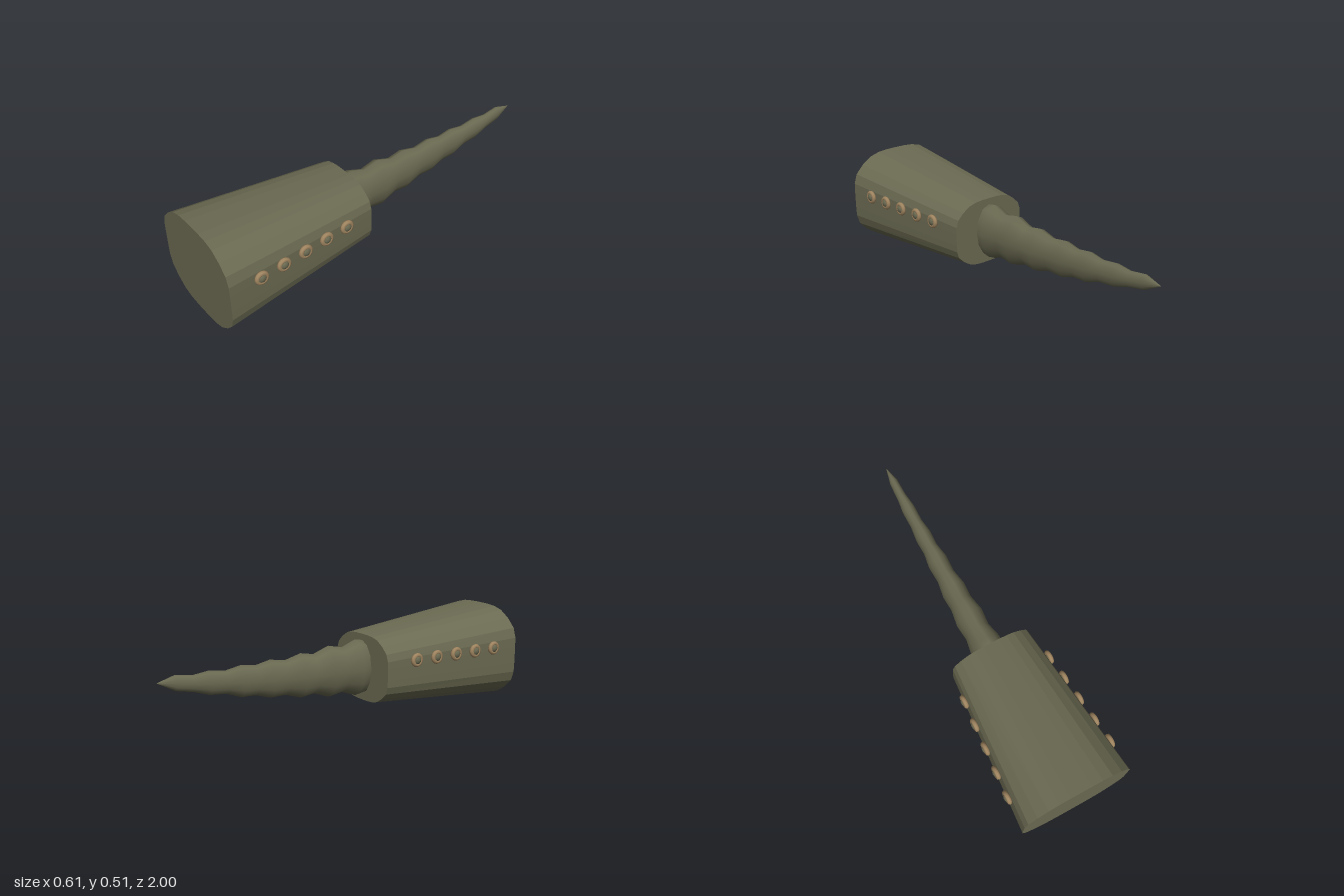
import * as THREE from 'three';

const olive = new THREE.MeshStandardMaterial({ color: 0x6b6a52 });
olive.name = 'olive hide';
const oliveFlat = new THREE.MeshStandardMaterial({ color: 0x6b6a52, flatShading: true });
oliveFlat.name = 'olive hide faceted';
const tan = new THREE.MeshStandardMaterial({ color: 0xa08560 });
tan.name = 'tan ring';

// Joins rings of [x, y, z] points, ordered from front to back and counter-clockwise seen from the front
function loft(rings, caps) {
  const n = rings[0].length;
  const pos = rings.flat(2);
  const idx = [];
  for (let i = 0; i < rings.length - 1; i++) {
    for (let j = 0; j < n; j++) {
      const k = (j + 1) % n;
      const a = i * n, b = a + n;
      idx.push(a + j, b + j, b + k, a + j, b + k, a + k);
    }
  }
  if (caps) {
    const last = (rings.length - 1) * n;
    for (let j = 1; j < n - 1; j++) {
      idx.push(0, j, j + 1, last, last + j + 1, last + j);
    }
  }
  const g = new THREE.BufferGeometry();
  g.setAttribute('position', new THREE.Float32BufferAttribute(pos, 3));
  g.setIndex(idx);
  g.computeVertexNormals();
  return g;
}

function add(parent, name, geometry, material) {
  const m = new THREE.Mesh(geometry, material);
  m.name = name;
  parent.add(m);
  return m;
}

export function createModel() {
  const model = new THREE.Group();
  model.name = 'taperedTail';

  // Tapered body with a rounded-square section
  const quarter = [[1, 0], [1, 0.18], [0.995, 0.38], [0.9375, 0.588], [0.78, 0.776],
    [0.59, 0.92], [0.4, 0.98], [0.2, 0.998]];
  const section = [];
  for (let q = 0; q < 4; q++) {
    quarter.forEach(([x, y], i) => {
      // odd quarters mirror the first one, so the corners stay symmetric
      if (q === 0) section.push([x, y]);
      else if (q === 2) section.push([-x, -y]);
      else {
        const [mx, my] = i === 0 ? [0, 1] : quarter[quarter.length - i];
        section.push(q === 1 ? [-(i === 0 ? 0 : mx), my] : [i === 0 ? 0 : mx, -my]);
      }
    });
  }
  // order each mirrored quarter around the centre
  section.sort((a, b) => Math.atan2(a[1], a[0]) - Math.atan2(b[1], b[0]));
  const bodyRing = (hw, hh, cy, z) => section.map(([x, y]) => [x * hw, cy + y * hh, z]);
  add(model, 'body', loft([
    bodyRing(0.288, 0.254, 0.255, 1),
    bodyRing(0.215, 0.177, 0.257, 0.155),
  ], true), oliveFlat);

  // Ridged spike: z, half width, bottom, top
  const profile = [
    [0.17, 0.08, 0.12, 0.398], [0.11, 0.086, 0.11, 0.41], [0.025, 0.069, 0.142, 0.38],
    [-0.06, 0.077, 0.131, 0.4], [-0.15, 0.062, 0.165, 0.37], [-0.23, 0.066, 0.157, 0.386],
    [-0.32, 0.051, 0.187, 0.365], [-0.41, 0.055, 0.188, 0.38], [-0.49, 0.042, 0.215, 0.365],
    [-0.57, 0.045, 0.219, 0.378], [-0.65, 0.035, 0.25, 0.365], [-0.74, 0.036, 0.26, 0.378],
    [-0.82, 0.026, 0.288, 0.37], [-0.91, 0.023, 0.308, 0.385], [-1, 0.001, 0.358, 0.36],
  ];
  const sides = 12;
  const rings = profile.map(([z, w, lo, hi]) => Array.from({ length: sides }, (_, j) => {
    const a = (j / sides) * Math.PI * 2;
    return [Math.cos(a) * w, (lo + hi) / 2 + Math.sin(a) * (hi - lo) / 2, z];
  }));
  add(model, 'spike', loft(rings, false), olive);

  // Rows of ringed studs on both sides
  const ring = new THREE.TorusGeometry(0.025, 0.012, 8, 16).rotateY(Math.PI / 2);
  const dome = new THREE.SphereGeometry(0.024, 12, 8).scale(0.75, 1, 1);
  for (const side of [1, -1]) {
    for (let i = 0; i < 5; i++) {
      const z = 0.833 - i * 0.127;
      const stud = new THREE.Group();
      stud.name = (side > 0 ? 'left' : 'right') + 'Stud' + (i + 1);
      stud.position.set(side * (0.285 - (0.833 - z) * 0.0864), 0.317, z);
      add(stud, 'studRing', ring, tan);
      add(stud, 'studDome', dome, olive);
      model.add(stud);
    }
  }
  return model;
}
